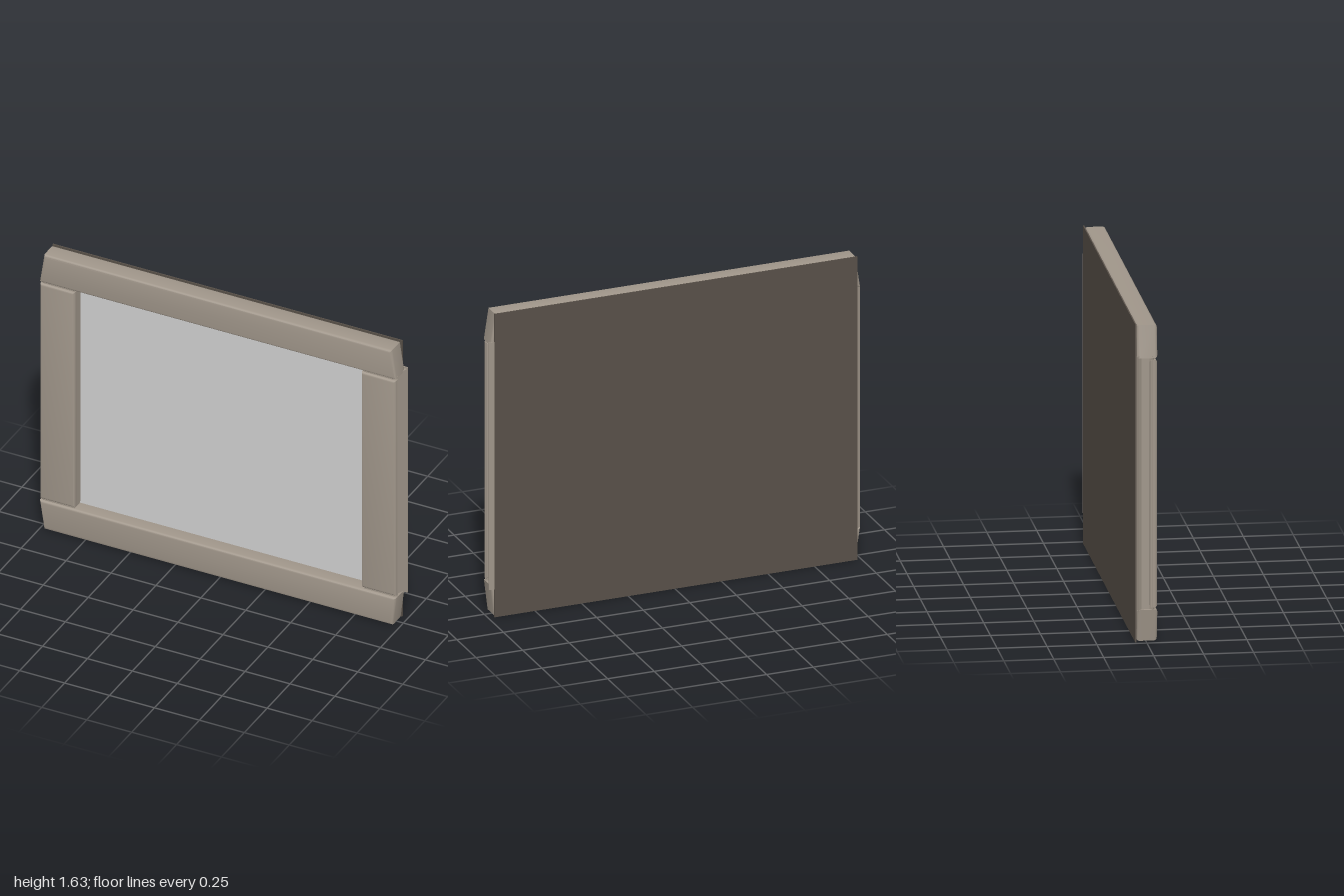
import * as THREE from 'three';
import { toCreasedNormals } from 'three/addons/utils/BufferGeometryUtils.js';

const material = (name, color) => {
  const m = new THREE.MeshStandardMaterial({ color });
  m.name = name;
  return m;
};

const outline = (points) => new THREE.Shape(points.map(([x, y]) => new THREE.Vector2(x, y)));

// Moulding cut to a front outline, with rounded edges, from z = back to z = front
function moulding(points, back, front, radius) {
  const geo = new THREE.ExtrudeGeometry(outline(points), {
    depth: front - back - 2 * radius,
    bevelEnabled: true,
    bevelThickness: radius,
    bevelSize: radius,
    bevelOffset: -radius,
    bevelSegments: 3,
  });
  geo.translate(0, 0, back + radius);
  return toCreasedNormals(geo, 0.6);
}

// Upright with a constant [x, z] cross-section
function upright(section, bottom, top) {
  const geo = new THREE.ExtrudeGeometry(outline(section.map(([x, z]) => [x, -z])), {
    depth: top - bottom,
    bevelEnabled: false,
  });
  geo.rotateX(-Math.PI / 2);
  geo.translate(0, bottom, 0);
  return geo;
}

export function createModel() {
  const group = new THREE.Group();
  const wood = material('beige frame', 0xa0968a);
  const dark = material('dark backing', 0x585048);
  const grey = material('grey picture', 0xcfcfcf);

  const add = (name, geometry, mat) => {
    const mesh = new THREE.Mesh(geometry, mat);
    mesh.name = name;
    group.add(mesh);
  };
  const addBox = (name, x0, x1, y0, y1, z0, z1, mat) => {
    const geo = new THREE.BoxGeometry(x1 - x0, y1 - y0, z1 - z0);
    geo.translate((x0 + x1) / 2, (y0 + y1) / 2, (z0 + z1) / 2);
    add(name, geo, mat);
  };

  // Rails, tapering towards the outer edges of the frame
  add('topRail', moulding(
    [[-1, 1.46], [0.985, 1.46], [0.96, 1.625], [-0.975, 1.625]], -0.05, 0.054, 0.014), wood);
  add('bottomRail', moulding(
    [[-0.975, 0.006], [0.965, 0.006], [0.985, 0.17], [-1, 0.17]], -0.05, 0.054, 0.014), wood);

  // Stile cores with a shallow groove along the outer side
  add('rightStileCore', upright(
    [[-0.81, 0.04], [-0.98, 0.04], [-1, 0.03], [-0.985, 0.015], [-0.985, -0.025],
      [-1, -0.04], [-0.98, -0.05], [-0.81, -0.05]], 0.16, 1.47), wood);
  add('leftStileCore', upright(
    [[0.80, 0.04], [0.965, 0.04], [0.985, 0.03], [0.97, 0.015], [0.995, -0.05],
      [0.80, -0.05]], 0.16, 1.47), wood);

  // Raised stile fronts, stopping just short of the rails
  for (const [name, x0, x1] of [['rightStile', -0.998, -0.805], ['leftStile', 0.79, 0.982]]) {
    add(name, moulding([[x0, 0.18], [x1, 0.18], [x1, 1.45], [x0, 1.45]], 0.015, 0.052, 0.013), wood);
    addBox(name + 'InnerSide', Math.min(x0, x1) + (x0 < 0 ? 0.15 : 0.003),
      x1 - (x0 < 0 ? 0.003 : 0.15), 0.18, 1.45, -0.05, 0.03, wood);
  }

  // Picture, set back inside the frame
  addBox('picture', -0.82, 0.81, 0.16, 1.47, -0.028, -0.02, grey);

  // Backing board and the thin flange beside it
  addBox('backBoard', -0.978, 0.968, 0, 1.63, -0.056, -0.05, dark);
  addBox('sideFlange', 0.968, 0.998, 0.15, 1.48, -0.054, -0.05, wood);

  return group;
}
